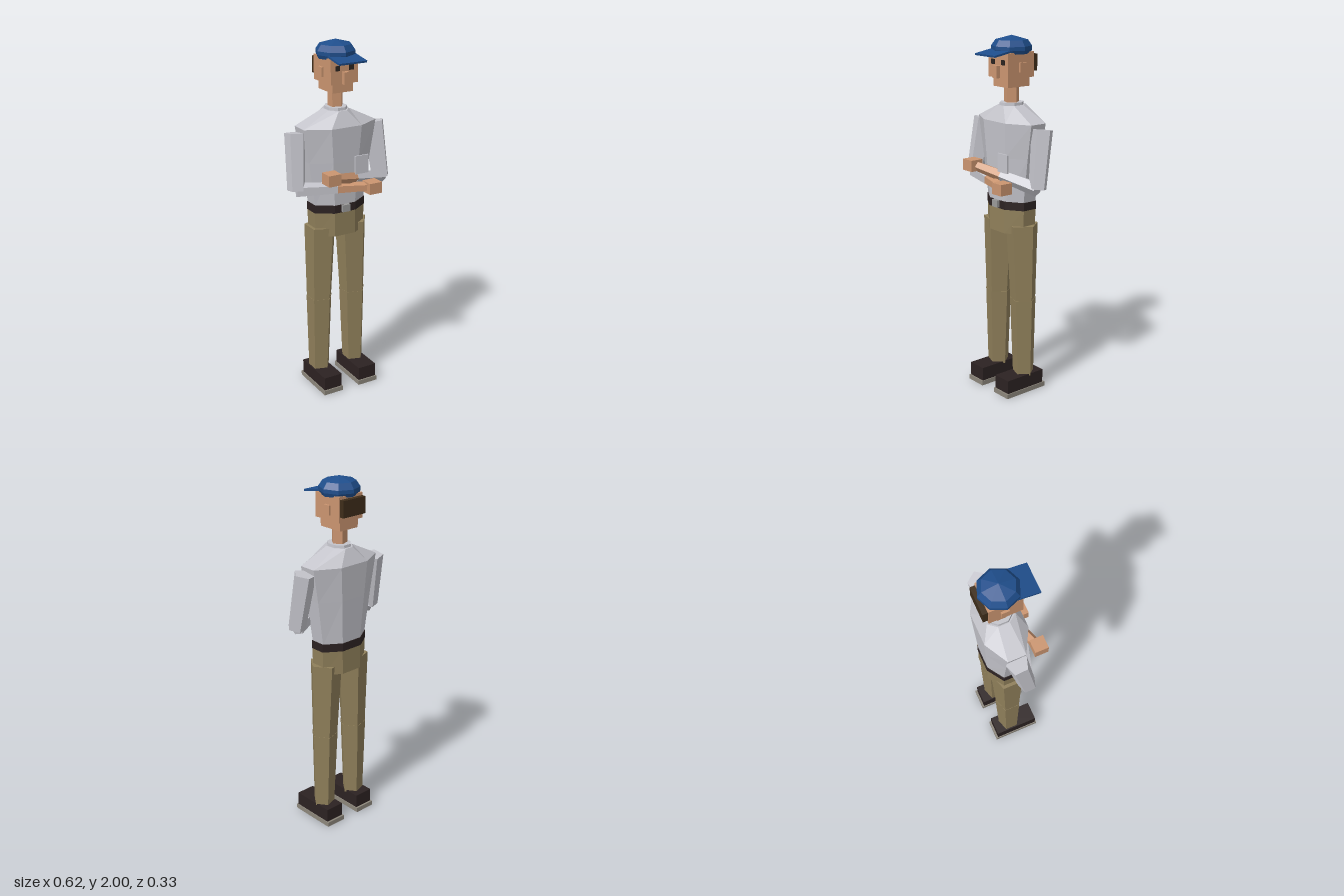
import * as THREE from 'three';

const mat = (name, color) => {
  const m = new THREE.MeshStandardMaterial({ color });
  m.name = name;
  return m;
};

// Stack of [y, radiusX, radiusZ] rings, closed at both ends
function loft(rings, sides, phase) {
  const pos = [], idx = [];
  rings.forEach(([y, rx, rz]) => {
    for (let i = 0; i < sides; i++) {
      const a = phase + (i / sides) * Math.PI * 2;
      pos.push(Math.cos(a) * rx, y, Math.sin(a) * rz);
    }
  });
  const last = (rings.length - 1) * sides, bottom = rings.length * sides, top = bottom + 1;
  pos.push(0, rings[0][0], 0, 0, rings[rings.length - 1][0], 0);
  for (let i = 0; i < sides; i++) {
    const n = (i + 1) % sides;
    for (let k = 0; k < last; k += sides) {
      idx.push(k + i, k + sides + i, k + n, k + n, k + sides + i, k + sides + n);
    }
    idx.push(bottom, i, n, top, last + n, last + i);
  }
  const g = new THREE.BufferGeometry();
  g.setAttribute('position', new THREE.Float32BufferAttribute(pos, 3));
  g.setIndex(idx);
  return g;
}

export function createModel() {
  const root = new THREE.Group();
  root.name = 'standingMan';
  const CX = -0.004, CZ = -0.045; // body axis

  const skin = mat('skin', 0xcb9570), shirt = mat('shirtGrey', 0xc4c4cb);
  const khaki = mat('khaki', 0x8f7f5a), leather = mat('darkLeather', 0x2c2222);
  const sole = mat('soleGrey', 0x8c867b), blue = mat('capBlue', 0x1f4e8c);
  const hair = mat('hairBrown', 0x3e2d1a), metal = mat('buckleGrey', 0x9a9a9a);
  const dark = mat('eyeDark', 0x2a2420);

  // Faceted mesh
  const add = (name, geometry, material) => {
    const g = geometry.index ? geometry.toNonIndexed() : geometry;
    g.computeVertexNormals();
    const mesh = new THREE.Mesh(g, material);
    mesh.name = name;
    root.add(mesh);
    return mesh;
  };
  // Box from its minimum and maximum on each axis
  const box = (name, m, [x0, x1], [y0, y1], [z0, z1]) => {
    const mesh = add(name, new THREE.BoxGeometry(x1 - x0, y1 - y0, z1 - z0), m);
    mesh.position.set((x0 + x1) / 2, (y0 + y1) / 2, (z0 + z1) / 2);
    return mesh;
  };
  // Five-sided tapered limb from a to b
  const limb = (name, m, a, b, ra, rb) => {
    const dir = b.clone().sub(a);
    const mesh = add(name, new THREE.CylinderGeometry(rb, ra, dir.length(), 5, 1, false, Math.PI / 2), m);
    mesh.position.copy(a).add(b).multiplyScalar(0.5);
    mesh.quaternion.setFromUnitVectors(new THREE.Vector3(0, 1, 0), dir.normalize());
    return mesh;
  };
  // Eight-sided body section on the body axis, flat to the front
  const section = (name, m, rings) => {
    const k = 1 / Math.cos(Math.PI / 8);
    const mesh = add(name, loft(rings.map(([y, x, z]) => [y, x * k, z * k]), 8, Math.PI / 8), m);
    mesh.position.set(CX, 0, CZ);
  };
  const v = (x, y, z) => new THREE.Vector3(x, y, z);

  // Trunk
  section('hips', khaki, [[0.935, 0.153, 0.102], [1.08, 0.156, 0.1]]);
  section('belt', leather, [[1.07, 0.158, 0.104], [1.115, 0.158, 0.104]]);
  section('shirtBody', shirt, [[1.11, 0.153, 0.1], [1.36, 0.19, 0.112], [1.55, 0.223, 0.12], [1.63, 0.062, 0.077]]);
  section('collar', shirt, [[1.625, 0.058, 0.066], [1.645, 0.056, 0.064]]);
  box('buckle', metal, [CX - 0.023, CX + 0.023], [1.075, 1.115], [0.055, 0.075]);
  box('chestPocket', shirt, [0.04, 0.123], [1.285, 1.387], [0.082, 0.09]);

  // Legs and shoes
  for (const [side, s] of [['right', -1], ['left', 1]]) {
    const at = (x, y) => v(CX + s * x, y, -0.042);
    limb(side + 'Thigh', khaki, at(0.108, 0.543), at(0.098, 0.98), 0.074, 0.092);
    limb(side + 'Shin', khaki, at(0.113, 0.095), at(0.108, 0.548), 0.061, 0.076);
    const c = CX + s * 0.114;
    box(side + 'Shoe', leather, [c - 0.056, c + 0.056], [0.025, 0.105], [-0.138, 0.118]);
    box(side + 'Sole', sole, [c - 0.061, c + 0.061], [0, 0.027], [-0.15, 0.126]);
  }

  // Folded arms, each hand crossing to the other side
  const arms = [
    { side: 'right', shoulder: v(-0.247, 1.525, -0.05), elbow: v(-0.271, 1.222, -0.002), wrist: v(0.125, 1.213, 0.125), cuff: 0.53 },
    { side: 'left', shoulder: v(0.243, 1.525, -0.052), elbow: v(0.263, 1.215, -0.004), wrist: v(-0.128, 1.3, 0.125), cuff: 0.55 },
  ];
  for (const { side, shoulder, elbow, wrist, cuff } of arms) {
    limb(side + 'UpperSleeve', shirt, elbow, shoulder, 0.05, 0.06);
    const end = elbow.clone().lerp(wrist, cuff);
    limb(side + 'ForearmSleeve', shirt, elbow, end, 0.042, 0.034);
    limb(side + 'Forearm', skin, end, wrist, 0.033, 0.027);
    const w = wrist;
    box(side + 'Hand', skin, [w.x - 0.038, w.x + 0.038], [w.y - 0.031, w.y + 0.031], [0.088, 0.165]);
  }

  // Neck and head
  limb('neck', skin, v(CX, 1.635, CZ), v(CX, 1.74, CZ), 0.043, 0.043);
  box('jaw', skin, [CX - 0.062, CX + 0.062], [1.73, 1.785], [-0.12, 0.03]);
  box('head', skin, [CX - 0.082, CX + 0.082], [1.78, 1.915], [-0.133, 0.047]);
  box('nose', skin, [CX - 0.016, CX + 0.016], [1.78, 1.845], [0.045, 0.073]);
  box('hairBack', hair, [CX - 0.077, CX + 0.077], [1.81, 1.9], [-0.16, -0.13]);
  for (const [side, s] of [['right', -1], ['left', 1]]) {
    const e = CX + s * 0.041, r = CX + s * 0.085;
    box(side + 'Eye', dark, [e - 0.014, e + 0.014], [1.85, 1.877], [0.044, 0.05]);
    box(side + 'Ear', skin, [r - 0.009, r + 0.009], [1.81, 1.862], [-0.07, -0.028]);
  }

  // Cap
  const crown = [[1.905, 0.1], [1.925, 0.109], [1.945, 0.109], [1.977, 0.087], [2, 0.001]];
  add('capCrown', loft(crown.map(([y, r]) => [y, r, r]), 8, 0), blue).position.set(CX, 0, CZ);
  const brim = box('capBrim', blue, [CX - 0.083, CX + 0.083], [1.909, 1.919], [0.015, 0.137]);
  brim.rotation.x = 0.17;

  return root;
}
